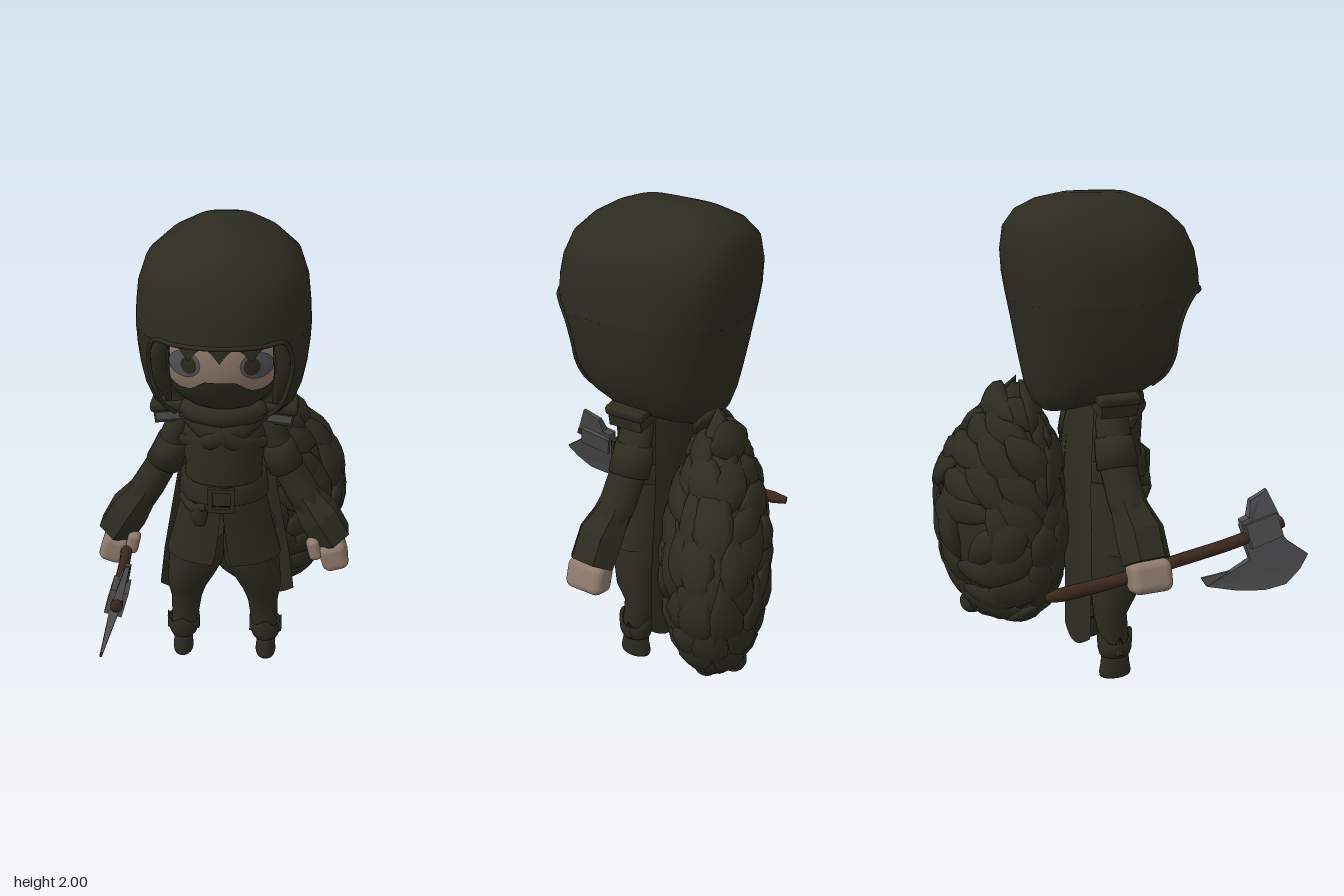
import * as THREE from 'three';
import { mergeGeometries } from 'three/addons/utils/BufferGeometryUtils.js';
import { RoundedBoxGeometry } from 'three/addons/geometries/RoundedBoxGeometry.js';

const CX = -0.02; // the body's own centre line
const V = (x, y, z) => new THREE.Vector3(x, y, z);
const mat = (name, color, side = THREE.FrontSide) => {
  const m = new THREE.MeshStandardMaterial({ color, side });
  m.name = name;
  return m;
};
const lerp = THREE.MathUtils.lerp;

// Skin a list of cross-sections, given from top to bottom
function loft(rings, closed = true, caps = false) {
  const n = rings[0].length, pos = [], idx = [];
  rings.forEach(r => r.forEach(p => pos.push(p.x, p.y, p.z)));
  const cols = closed ? n : n - 1;
  for (let i = 0; i < rings.length - 1; i++) for (let j = 0; j < cols; j++) {
    const k = (j + 1) % n, a = i * n + j, b = i * n + k, c = a + n, d = b + n;
    idx.push(a, c, b, b, c, d);
  }
  if (caps) [0, rings.length - 1].forEach(i => {
    const m = rings[i].reduce((s, p) => s.add(p), V(0, 0, 0)).divideScalar(n);
    const c = pos.length / 3;
    pos.push(m.x, m.y, m.z);
    for (let j = 0; j < n; j++) {
      const a = i * n + j, b = i * n + (j + 1) % n;
      if (i) idx.push(a, c, b); else idx.push(a, b, c);
    }
  });
  const g = new THREE.BufferGeometry();
  g.setAttribute('position', new THREE.Float32BufferAttribute(pos, 3));
  g.setIndex(idx);
  g.computeVertexNormals();
  return g;
}

// Horizontal ellipse; gap leaves an opening at the front
function ring(y, cx, cz, rx, rz, gap = 0, n = 24) {
  return Array.from({ length: n + (gap ? 1 : 0) }, (_, j) => {
    const t = gap + (2 * Math.PI - 2 * gap) * j / n;
    return V(cx + rx * Math.sin(t), y, cz + rz * Math.cos(t));
  });
}

// Elliptical sections [w, h] swept along a list of points
function sweep(pts, radii, up = V(0, 0, 1), n = 14) {
  return loft(pts.map((p, i) => {
    const d = pts[Math.min(i + 1, pts.length - 1)].clone().sub(pts[Math.max(i - 1, 0)]).normalize();
    const s = up.clone().cross(d).normalize(), t = d.clone().cross(s);
    return Array.from({ length: n }, (_, j) => {
      const a = 2 * Math.PI * j / n;
      return p.clone().addScaledVector(s, Math.sin(a) * radii[i][0]).addScaledVector(t, Math.cos(a) * radii[i][1]);
    });
  }), true, true);
}
const tube = (pts, r) => new THREE.TubeGeometry(new THREE.CatmullRomCurve3(pts), 48, r, 8);

// Piece of cloth, hair or eye lying on the face ellipsoid
function facePatch(x0, x1, low, high, off, cols = 24) {
  return loft(Array.from({ length: 7 }, (_, i) => Array.from({ length: cols + 1 }, (_, j) => {
    const x = lerp(x0, x1, j / cols), y = lerp(high(x), low(x), i / 6);
    const q = 1 - ((x - CX) / 0.27) ** 2 - ((y - 1.52) / 0.28) ** 2;
    return V(x, y, -0.02 + 0.21 * Math.sqrt(Math.max(q, 0)) + off);
  })), false);
}

// Point on the hood: rows are [front y, back y, half width, front z, back z]
function hoodPoint([yf, yb, rx, zf, zb], t) {
  const s = Math.sin(t), c = Math.cos(t), zm = Math.min(-0.03, (zf + zb) / 2 + 0.06);
  const e = c < 0 ? 0.75 : 0.96, pw = v => Math.sign(v) * Math.abs(v) ** e;
  return V(CX + rx * pw(s), lerp(yf, yb, (1 - c) / 2), zm + (c > 0 ? zf - zm : zm - zb) * pw(c));
}

// Bushy tail body: height and relative radius
const tailProfile = [[0.19, 0.12], [0.22, 0.42], [0.28, 0.66], [0.4, 0.87], [0.6, 1], [0.8, 0.93], [0.95, 0.76], [1.1, 0.42], [1.24, 0.06]];
const E1 = V(0.89, 0, -0.456), EN = V(-0.456, 0, -0.89), tailMid = V(0.18, 0.62, -0.445);
function tailPoint(y, phi, k = 1) {
  let i = 0;
  while (i < tailProfile.length - 2 && y > tailProfile[i + 1][0]) i++;
  const [a, b] = [tailProfile[i], tailProfile[i + 1]];
  const r = k * lerp(a[1], b[1], (y - a[0]) / (b[0] - a[0]));
  const shift = y > 0.8 ? -0.28 * (y - 0.8) : 0;
  return V(tailMid.x, y, tailMid.z).addScaledVector(E1, shift + 0.33 * r * Math.cos(phi))
    .addScaledVector(EN, -0.195 * r * Math.sin(phi));
}
function tailLock(y, phi, L, w) {
  const p = tailPoint(y, phi);
  const du = tailPoint(y, phi + 0.02).sub(tailPoint(y, phi - 0.02));
  const dv = tailPoint(y + 0.01, phi).sub(tailPoint(y - 0.01, phi));
  const nrm = du.cross(dv).normalize();
  const out = p.clone().sub(tailMid);
  if (nrm.dot(V(out.x, 0, out.z)) < 0) nrm.negate();
  // fur swirls round the coil, drawing inwards on the flat face
  const face = nrm.dot(EN), r = out.addScaledVector(EN, -out.dot(EN)).normalize();
  const t = r.clone().cross(EN).addScaledVector(r, face > 0.75 ? -0.3 : 0.3);
  t.addScaledVector(nrm, -t.dot(nrm)).normalize();
  const prof = [0.25, 0.75, 1, 1, 0.85, 0.62, 0.32, 0.02];
  const pts = prof.map((_, i) => {
    const x = L * (i / 7 - 0.45);
    return p.clone().addScaledVector(t, x).addScaledVector(nrm, 0.01 - (x < 0 ? 1.4 : 0.95) * x * x);
  });
  return sweep(pts, prof.map(q => [w * q, 0.03 * q]), nrm, 8);
}

export function createModel() {
  const root = new THREE.Group();
  const cloth = mat('dark olive cloth', 0x2c2b20, THREE.DoubleSide);
  const skin = mat('skin', 0x907a6d), metal = mat('grey steel', 0x4d4c4e);
  const wood = mat('brown wood', 0x3c271c), eye = mat('eye grey', 0x55545a, THREE.DoubleSide);
  const add = (name, geo, m, parent = root) => {
    const mesh = new THREE.Mesh(geo, m);
    mesh.name = name;
    parent.add(mesh);
    return mesh;
  };

  // Hood: closed dome above the brim, open front below it
  const brim = [1.62, 1.6, 0.345, 0.342, -0.42];
  const dome = [[2, 2, 0.001, -0.029, -0.031], [1.995, 1.998, 0.07, 0.05, -0.2], [1.965, 1.975, 0.145, 0.13, -0.31],
    [1.92, 1.935, 0.225, 0.21, -0.385], [1.86, 1.87, 0.3, 0.275, -0.428], [1.78, 1.78, 0.33, 0.315, -0.44], [1.7, 1.69, 0.34, 0.334, -0.435], brim];
  const lower = [[...brim, 0.75], [1.56, 1.52, 0.342, 0.32, -0.405, 0.9], [1.48, 1.43, 0.333, 0.3, -0.39, 0.95], [1.39, 1.34, 0.315, 0.28, -0.375, 0.92],
    [1.32, 1.25, 0.285, 0.23, -0.36, 0.9], [1.275, 1.19, 0.235, 0.17, -0.345, 0.9], [1.25, 1.155, 0.16, 0.1, -0.31, 1]];
  add('hoodDome', loft(dome.map(r => Array.from({ length: 48 }, (_, j) => hoodPoint(r, j * Math.PI / 24)))), cloth);
  add('hoodLower', loft(lower.map(r => Array.from({ length: 49 }, (_, j) => hoodPoint(r, lerp(r[5], 2 * Math.PI - r[5], j / 48))), false), false), cloth);
  const edge = s => lower.slice(0, 6).map(r => hoodPoint(r, s * r[5]));
  const brimArc = [-0.5, -0.25, 0, 0.25, 0.5].map(t => hoodPoint(brim, t));
  add('hoodRim', tube([...edge(-1).reverse(), ...brimArc, ...edge(1)], 0.009), cloth);

  // Head, mask, fringe and eyes
  const head = add('head', new THREE.SphereGeometry(1, 32, 24), skin);
  head.scale.set(0.27, 0.28, 0.21);
  head.position.set(CX, 1.52, -0.02);
  add('mask', facePatch(CX - 0.24, CX + 0.24, () => 1.26,
    x => 1.385 + Math.min(0.04, 0.8 * Math.max(0, 0.115 - Math.abs(x - CX))) + 0.9 * Math.max(0, Math.abs(x - CX) - 0.17), 0.012), cloth);
  add('fringe', facePatch(CX - 0.265, CX + 0.265,
    x => Math.abs(x - CX) > 0.2 ? 1.34 : 1.515 + 0.055 * Math.abs(Math.sin((x - CX) * 26)), () => 1.7, 0.035, 64), cloth);
  for (const s of [-1, 1]) {
    const disc = (c, rx, ry, off) => {
      const h = x => ry * Math.sqrt(Math.max(0, 1 - ((x - c) / rx) ** 2));
      return facePatch(c - rx, c + rx, x => 1.49 - h(x), x => 1.49 + h(x), off, 20);
    };
    add('eye', disc(CX + s * 0.14, 0.065, 0.055, 0.005), eye);
    add('iris', disc(CX + s * 0.122, 0.032, 0.036, 0.009), cloth);
    add('hairStrand', sweep([V(CX + s * 0.225, 1.62, 0.15), V(CX + s * 0.245, 1.5, 0.13), V(CX + s * 0.235, 1.4, 0.1), V(CX + s * 0.21, 1.3, 0.07)],
      [[0.03, 0.03], [0.035, 0.035], [0.035, 0.03], [0.01, 0.01]]), cloth);
  }

  // Torso, split coat skirt, belt and collar
  add('torso', loft([[1.28, 0.08, 0.08], [1.21, 0.15, 0.12], [1.12, 0.175, 0.14], [0.98, 0.16, 0.135], [0.86, 0.175, 0.14]]
    .map(([y, a, b]) => ring(y, CX, -0.025, a, b))), cloth);
  add('coatSkirt', loft([[0.88, 0.17, 0.14, 0.01], [0.8, 0.19, 0.142, 0.03], [0.7, 0.212, 0.147, 0.07], [0.62, 0.233, 0.15, 0.11], [0.56, 0.248, 0.153, 0.16]]
    .map(([y, a, b, g]) => ring(y, CX, -0.03, a, b, g, 30)), false), cloth);
  add('belt', loft([[0.94, 0.165], [0.945, 0.182], [0.86, 0.192], [0.85, 0.175]]
    .map(([y, a]) => ring(y, CX, -0.025, a, a * 0.86))), cloth);
  const frame = new THREE.Shape([[-0.055, -0.055], [0.055, -0.055], [0.055, 0.055], [-0.055, 0.055]].map(p => new THREE.Vector2(...p)));
  frame.holes.push(new THREE.Path([[-0.036, -0.036], [-0.036, 0.036], [0.036, 0.036], [0.036, -0.036]].map(p => new THREE.Vector2(...p))));
  add('buckle', new THREE.ExtrudeGeometry(frame, { depth: 0.018, bevelEnabled: false }), cloth).position.set(CX, 0.885, 0.127);
  add('beltSash', tube([V(-0.19, 0.86, 0.04), V(-0.14, 0.83, 0.1), V(-0.08, 0.85, 0.12)], 0.02), cloth);
  add('beltKnot', sweep([V(-0.11, 0.85, 0.11), V(-0.115, 0.8, 0.112), V(-0.11, 0.75, 0.11)], [[0.02, 0.015], [0.038, 0.022], [0.02, 0.01]]), cloth);
  const collar = add('collar', new THREE.TorusGeometry(0.12, 0.045, 10, 32), cloth);
  collar.rotation.x = Math.PI / 2;
  collar.scale.set(1.15, 0.9, 1);
  collar.position.set(CX, 1.235, -0.03);
  // Flat scarf bands crossing over the chest
  for (const s of [-1, 1]) add('chestBand', sweep([V(CX + s * 0.165, 1.225, 0), V(CX + s * 0.08, 1.185, 0.085), V(CX - s * 0.05, 1.135, 0.105), V(CX - s * 0.17, 1.1, 0.01)],
    [[0.03, 0.02], [0.04, 0.02], [0.036, 0.02], [0.025, 0.02]]), cloth);

  // Cape in two tails, parted over the bushy tail
  for (const s of [-1, 1]) {
    const rows = [[1.24, 0, 0.13, -0.17], [1.05, 0, 0.18, -0.2], [0.85, 0.005, 0.215, -0.22], [0.65, 0.04, 0.25, -0.23], [0.45, 0.09, 0.285, -0.245], [0.25, 0.13, 0.31, -0.26]];
    const grid = rows.map(([y, a, b, z], i) => Array.from({ length: 9 }, (_, j) => {
      const u = s > 0 ? j / 8 : 1 - j / 8, x = lerp(a, b, u);
      return V(CX + s * x, y - (i === 5 ? 0.05 * Math.sin(u * Math.PI) : 0), z + 0.05 * u * u);
    }));
    add('capeTail', loft(grid, false), cloth);
  }

  for (const s of [-1, 1]) {
    const P = (dx, y, z) => V(CX + s * dx, y, z);
    // Leg, boot cuff with pointed flaps, and boot
    add('leg', loft([[0.66, 0.1, -0.035, 0.105, 0.125], [0.52, 0.12, -0.035, 0.122, 0.125], [0.43, 0.145, -0.045, 0.105, 0.1], [0.36, 0.165, -0.055, 0.086, 0.095],
      [0.28, 0.172, -0.075, 0.068, 0.07], [0.16, 0.182, -0.06, 0.058, 0.062]].map(([y, x, z, a, b]) => ring(y, CX + s * x, z, a, b))), cloth);
    const cuff = [[0.165, 0.06, 0.06], [0.17, 0.074, 0.075], [0.13, 0.07, 0.073], [0.1, 0.058, 0.066], [0.1, 0.04, 0.06]].map(([y, a, b]) => ring(y, CX + s * 0.187, -0.06, a, b));
    cuff.slice(0, 2).forEach(r => r.forEach((p, j) => { p.y += 0.035 * Math.abs(Math.cos(j * Math.PI / 12)) ** 6; }));
    add('bootCuff', loft(cuff), cloth);
    [-1, 1].forEach(k => {
      const flap = add('bootFlap', new THREE.ConeGeometry(0.03, 0.08, 6), cloth);
      flap.position.copy(P(0.187 + k * 0.06, 0.165, -0.06));
      flap.rotation.z = -s * k * 0.3;
    });
    add('boot', loft([[0.13, 0.046, 0.058], [0.06, 0.042, 0.062], [0.015, 0.046, 0.07], [0, 0.043, 0.067]].map(([y, a, b]) => ring(y, CX + s * 0.19, -0.06, a, b)), true, true), cloth);

    // Arm, arm bands, faceted glove cuff and hand
    add('arm', sweep([P(0.16, 1.2, -0.06), P(0.2, 1.12, -0.075), P(0.25, 0.98, -0.075), P(0.325, 0.85, -0.065), P(0.4, 0.74, -0.04)],
      [[0.05, 0.06], [0.055, 0.07], [0.065, 0.075], [0.07, 0.075], [0.07, 0.08]]), cloth);
    add('armBand', sweep([P(0.215, 1.07, -0.075), P(0.235, 1.01, -0.075), P(0.262, 0.95, -0.075)], [[0.066, 0.078], [0.074, 0.084], [0.078, 0.084]]), cloth);
    add('gloveCuff', sweep([P(0.34, 0.83, -0.06), P(0.41, 0.735, -0.037), P(0.472, 0.635, -0.032)], [[0.068, 0.076], [0.095, 0.102], [0.088, 0.1]], V(0, 0, 1), 6).toNonIndexed(), cloth).geometry.computeVertexNormals();
    const hand = add('hand', new RoundedBoxGeometry(0.115, 0.13, 0.17, 3, 0.035), skin);
    hand.position.copy(P(0.475, 0.575, -0.022));
    hand.rotation.z = s * 0.3;
    const thumb = add('thumb', new RoundedBoxGeometry(0.055, 0.1, 0.06, 2, 0.022), skin);
    thumb.position.copy(P(0.39, 0.61, 0.03));
    thumb.rotation.z = s * 0.25;
    // Shoulder guard with a steel edge at the front
    const guard = new THREE.Group();
    guard.name = 'shoulderGuard';
    guard.position.copy(P(0.225, 1.215, -0.075));
    guard.rotation.z = -s * 0.12;
    root.add(guard);
    add('guardTop', new RoundedBoxGeometry(0.15, 0.04, 0.17, 2, 0.015), cloth, guard).position.y = 0.025;
    add('guardBase', new THREE.BoxGeometry(0.125, 0.05, 0.145), cloth, guard).position.y = -0.018;
    add('guardPlate', new THREE.BoxGeometry(0.11, 0.034, 0.008), metal, guard).position.set(0, -0.014, 0.075);
  }

  // Axe: curved handle and leaning, edge-tapered blade
  const grip = new THREE.CatmullRomCurve3([V(-0.5, 0.55, -0.44), V(-0.465, 0.56, -0.15), V(-0.432, 0.585, 0.1), V(-0.41, 0.625, 0.4), V(-0.385, 0.67, 0.61)]).getPoints(20);
  add('axeHandle', sweep(grip, grip.map((_, i) => i < 1 ? [0.016, 0.016] : i < 5 ? [0.027, 0.027] : [0.023, 0.026])), wood);
  const outline = [[0.6, 0.69], [0.55, 0.81], [0.52, 0.795], [0.47, 0.775], [0.455, 0.71], [0.42, 0.7], [0.43, 0.6], [0.445, 0.545], [0.35, 0.51], [0.225, 0.5],
    [0.245, 0.465], [0.38, 0.43], [0.5, 0.415], [0.6, 0.425], [0.67, 0.475], [0.715, 0.53], [0.62, 0.6], [0.59, 0.64]];
  const blade = new THREE.ExtrudeGeometry(new THREE.Shape(outline.map(p => new THREE.Vector2(...p))), { depth: 0.05, bevelEnabled: false });
  blade.rotateY(-Math.PI / 2);
  const bp = blade.attributes.position;
  for (let i = 0; i < bp.count; i++) {
    const y = bp.getY(i), d = Math.hypot(y - 0.65, bp.getZ(i) - 0.51);
    bp.setX(i, -0.4 + (y - 0.63) * 0.3 + (bp.getX(i) + 0.025) * Math.max(0.2, 1.25 - d / 0.18));
  }
  blade.computeVertexNormals();
  add('axeBlade', blade, metal);
  const socket = add('axeSocket', new THREE.BoxGeometry(0.07, 0.1, 0.15), metal);
  socket.position.set(-0.397, 0.65, 0.51);
  socket.rotation.set(-0.2, 0.08, -0.29);

  // Bushy tail: solid core under overlapping locks of fur
  add('tailCore', loft([...tailProfile].reverse().map(([y]) => Array.from({ length: 32 }, (_, j) => tailPoint(y, -j * Math.PI / 16, 0.97))), true, true), cloth);
  const locks = [];
  [0.24, 0.34, 0.46, 0.58, 0.7, 0.82, 0.94, 1.05, 1.14].forEach((y, i) => {
    const n = [7, 9, 11, 12, 12, 11, 9, 7, 5][i];
    for (let j = 0; j < n; j++) {
      const v = Math.sin(i * 12.9 + j * 78.2) * 0.5; // small steady variation
      locks.push(tailLock(y + v * 0.04, (j + (i % 2) / 2 + v * 0.3) * 2 * Math.PI / n, (y > 1 ? 0.28 : 0.36) + v * 0.08, 0.07 + v * 0.014));
    }
  });
  add('tailFur', mergeGeometries(locks), cloth);
  [[0.1, -0.35], [0.18, -0.45], [0.23, -0.57], [0.31, -0.49]].forEach(([x, z]) =>
    add('tailTuft', new THREE.SphereGeometry(0.055, 14, 10), cloth).position.set(x, 0.225, z));
  return root;
}
